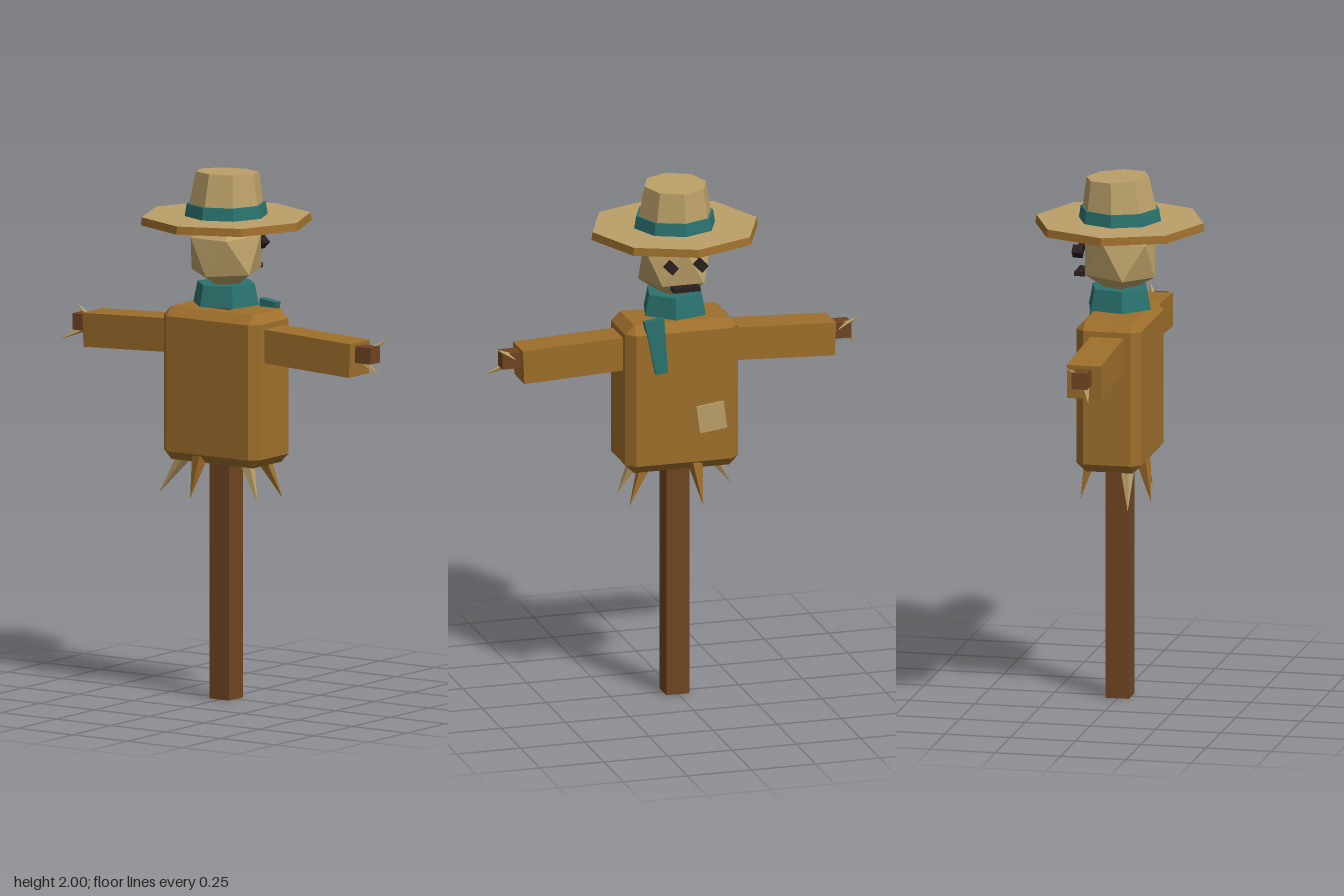
import * as THREE from 'three';
import { ConvexGeometry } from 'three/addons/geometries/ConvexGeometry.js';

function material(name, color) {
  const m = new THREE.MeshStandardMaterial({ color, flatShading: true });
  m.name = name;
  return m;
}

export function createModel() {
  const model = new THREE.Group();
  model.name = 'scarecrow';
  const straw = material('straw', 0xbba068);
  const cloth = material('ochre cloth', 0x9e6f2c);
  const wood = material('brown wood', 0x704522);
  const teal = material('teal scarf', 0x2a726e);
  const dark = material('dark features', 0x2a1f20);

  function add(name, geometry, mat, x = 0, y = 0, z = 0) {
    const mesh = new THREE.Mesh(geometry, mat);
    mesh.name = name;
    mesh.position.set(x, y, z);
    model.add(mesh);
    return mesh;
  }
  const box = (w, h, d) => new THREE.BoxGeometry(w, h, d);

  // Thin pyramid running from a base point to a tip
  function strand(name, base, tip, radius, mat) {
    const from = new THREE.Vector3(...base);
    const dir = new THREE.Vector3(...tip).sub(from);
    const mesh = add(name, new THREE.ConeGeometry(radius, dir.length(), 4), mat);
    mesh.position.copy(from).addScaledVector(dir, 0.5);
    mesh.quaternion.setFromUnitVectors(new THREE.Vector3(0, 1, 0), dir.normalize());
  }

  // Upright post and cross bar
  add('post', box(0.09, 1.54, 0.09), wood, 0, 0.77, 0);
  add('crossBar', box(0.06, 0.062, 1.36), wood, 0, 1.364, 0);

  // Chamfered torso: three corner points at each of the eight corners
  const [hx, hy, hz, c] = [0.125, 0.29, 0.22, 0.034];
  const corners = [];
  for (const sx of [-1, 1]) for (const sy of [-1, 1]) for (const sz of [-1, 1]) {
    corners.push(
      new THREE.Vector3(sx * hx, sy * (hy - c), sz * (hz - c)),
      new THREE.Vector3(sx * (hx - c), sy * hy, sz * (hz - c)),
      new THREE.Vector3(sx * (hx - c), sy * (hy - c), sz * hz));
  }
  add('torso', new ConvexGeometry(corners), cloth, 0, 1.19, 0);

  // Sleeves and the straw at the hands
  for (const s of [-1, 1]) {
    const sleeve = add('sleeve', box(0.13, 0.128, 0.44), cloth, 0, 1.354, s * 0.388);
    sleeve.rotation.x = s * 0.045;
    strand('handStrawUpper', [0.012, 1.365, s * 0.62], [0.045, 1.42, s * 0.71], 0.018, straw);
    strand('handStrawLower', [-0.008, 1.35, s * 0.62], [-0.045, 1.293, s * 0.73], 0.018, straw);
  }

  // Straw below the torso: base x, z, tip x, z, material
  const hem = [
    [-0.06, -0.14, -0.085, -0.245, straw],
    [-0.1, -0.05, -0.135, -0.07, cloth],
    [0.1, -0.05, 0.135, -0.07, cloth],
    [-0.055, 0.13, -0.08, 0.2, straw],
    [0.05, 0.13, 0.08, 0.2, cloth],
  ];
  for (const [bx, bz, tx, tz, mat] of hem) {
    strand('hemStraw', [bx, 0.925, bz], [tx, 0.767, tz], 0.03, mat);
  }

  // Patch on the chest
  add('patch', box(0.018, 0.105, 0.108), straw, 0.126, 1.105, -0.105).rotation.x = 0.13;

  // Scarf with a tapered hanging tail
  add('scarf', new THREE.CylinderGeometry(0.113, 0.13, 0.08, 6), teal, 0, 1.535, 0).rotation.y = 0.28;
  const tailGeometry = box(0.03, 0.21, 0.076);
  const p = tailGeometry.attributes.position;
  for (let i = 0; i < p.count; i++) {
    if (p.getY(i) < 0) p.setZ(i, p.getZ(i) * 0.62);
  }
  const tail = add('scarfTail', tailGeometry, teal, 0.121, 1.399, 0.104);
  tail.rotation.x = 0.13;
  tail.rotation.z = 0.03;

  // Head, eyes and mouth
  add('head', new THREE.IcosahedronGeometry(0.154, 0), straw, 0, 1.69, 0).rotation.z = -0.49;
  for (const s of [-1, 1]) {
    add('eye', box(0.038, 0.036, 0.036), dark, 0.148, 1.712, s * 0.058).rotation.x = Math.PI / 4;
  }
  add('mouth', box(0.04, 0.017, 0.105), dark, 0.144, 1.623, 0);

  // Hat: brim with a pale top, band and slightly tilted crown
  add('hatBrim', new THREE.CylinderGeometry(0.32, 0.324, 0.03, 8), [cloth, straw, cloth], 0, 1.815, 0);
  add('hatBand', new THREE.CylinderGeometry(0.15, 0.158, 0.05, 8), teal, 0, 1.852, 0);
  add('hatCrown', new THREE.CylinderGeometry(0.12, 0.15, 0.17, 8), straw, 0.004, 1.908, 0).rotation.z = -0.05;

  return model;
}
